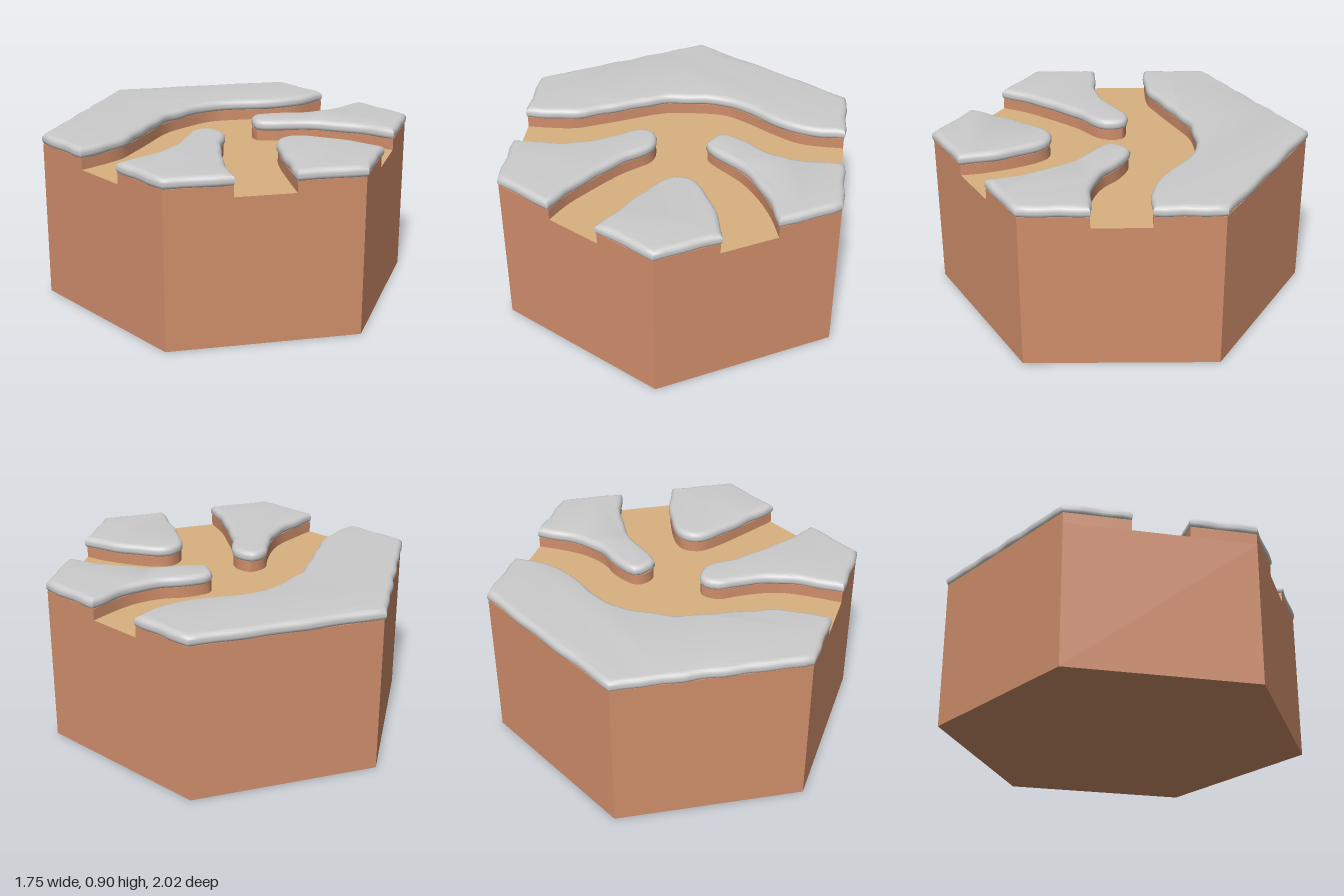
import * as THREE from 'three';
import { mergeVertices, toCreasedNormals } from 'three/addons/utils/BufferGeometryUtils.js';

const FLOOR = 0.78, LEDGE = 0.84, TOP = 0.896, HX = 0.866;
const mat = (color) => new THREE.MeshStandardMaterial({ color });

// Each island: straight corners on the hexagon rim, then a curved bank back to the first corner ([x, z])
const islands = {
  backIsland: {
    rim: [[-HX, -0.15], [-HX, -0.5], [0, -1], [HX, -0.5], [HX, -0.15]],
    bank: [[0.65, -0.16], [0.5, -0.23], [0.35, -0.325], [0.2, -0.4], [0, -0.4], [-0.15, -0.375],
      [-0.35, -0.28], [-0.5, -0.21], [-0.63, -0.16]],
  },
  leftIsland: {
    rim: [[HX, 0.15], [HX, 0.5], [0.57, 0.671]],
    bank: [[0.52, 0.52], [0.45, 0.38], [0.35, 0.24], [0.18, 0.09], [0.155, 0.03], [0.22, -0.04],
      [0.35, 0.01], [0.45, 0.09], [0.57, 0.14], [0.7, 0.155]],
  },
  rightIsland: {
    rim: [[-HX, 0.15], [-HX, 0.5], [-0.57, 0.671]],
    bank: [[-0.5, 0.53], [-0.4, 0.39], [-0.28, 0.24], [-0.15, 0.12], [-0.125, 0.04], [-0.15, -0.02],
      [-0.24, -0.03], [-0.33, 0.03], [-0.45, 0.1], [-0.57, 0.14], [-0.72, 0.15]],
  },
  frontIsland: {
    rim: [[-0.3, 0.827], [0, 1], [0.3, 0.827]],
    bank: [[0.28, 0.72], [0.23, 0.58], [0.17, 0.46], [0.11, 0.39], [0.05, 0.375], [-0.02, 0.4],
      [-0.1, 0.5], [-0.2, 0.66]],
  },
};

// Dense outline in plan, with shape y = -z
function outline({ rim, bank }) {
  const v = ([x, z]) => new THREE.Vector2(x, -z);
  const pts = [];
  for (let i = 0; i < rim.length - 1; i++) {
    const a = v(rim[i]), b = v(rim[i + 1]);
    const n = Math.ceil(a.distanceTo(b) / 0.05);
    for (let k = 0; k < n; k++) pts.push(a.clone().lerp(b, k / n));
  }
  const curve = new THREE.SplineCurve([rim[rim.length - 1], ...bank, rim[0]].map(v));
  return pts.concat(curve.getSpacedPoints(48).slice(0, -1));
}

// Extrude upward from y, with smooth walls and sharp corners
function extrudeUp(points, y, options, crease) {
  let geo = new THREE.ExtrudeGeometry(new THREE.Shape(points), options);
  geo.rotateX(-Math.PI / 2);
  geo.translate(0, y, 0);
  geo.deleteAttribute('uv');
  geo.deleteAttribute('normal');
  geo = mergeVertices(geo, 1e-5);
  return toCreasedNormals(geo, crease);
}

// Slight hand-shaped irregularity for the cap edges
const wobble = (p) => new THREE.Vector2(
  p.x + 0.004 * Math.sin(31 * p.y + 9 * p.x),
  p.y + 0.004 * Math.sin(29 * p.x + 13 * p.y));

export function createModel() {
  const group = new THREE.Group();
  const earth = mat(0xd08e6b), sand = mat(0xd9b180), grey = mat(0xcccccc);

  // Hexagonal block whose top is the forked path
  const block = new THREE.Mesh(
    toCreasedNormals(new THREE.CylinderGeometry(1, 1, FLOOR, 6), 0.3), [earth, sand, earth]);
  block.position.y = FLOOR / 2;
  block.name = 'hexBlockWithPath';
  group.add(block);

  // Raised banks, each with a soft rounded cap
  for (const [name, def] of Object.entries(islands)) {
    const island = new THREE.Group();
    island.name = name;
    const pts = outline(def);

    const bank = new THREE.Mesh(
      extrudeUp(pts, FLOOR, { depth: LEDGE - FLOOR, bevelEnabled: false }, 0.6), earth);
    bank.name = 'bank';

    const bevel = 0.029, depth = 0.006;
    const cap = new THREE.Mesh(extrudeUp(pts.map(wobble), TOP - bevel - depth, {
      depth, bevelEnabled: true, bevelThickness: bevel, bevelSize: 0.03,
      bevelOffset: -0.023, bevelSegments: 5,
    }, 0.9), grey);
    cap.name = 'cap';

    island.add(bank, cap);
    group.add(island);
  }
  return group;
}
